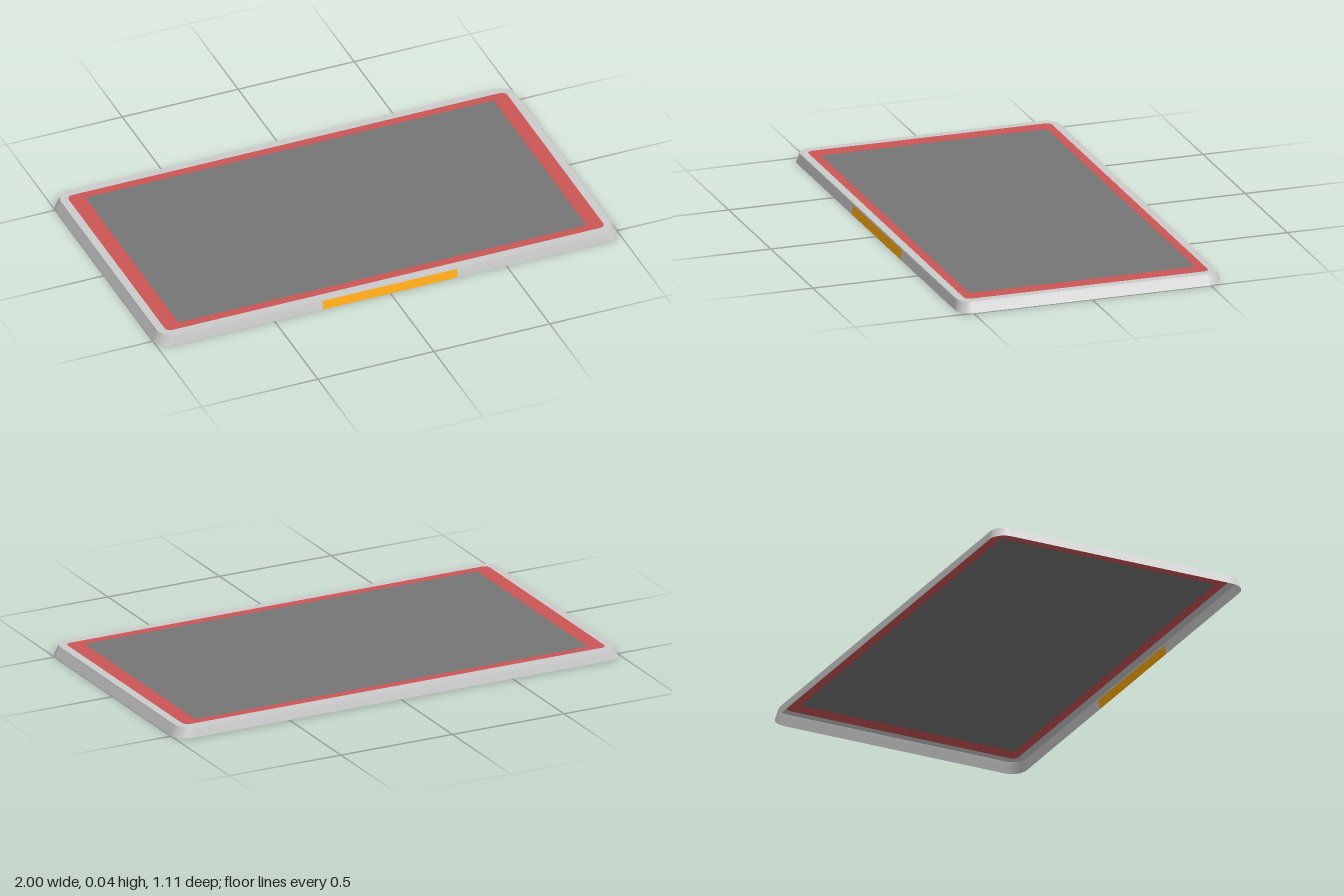
import * as THREE from 'three';

const ARC = 8;            // steps per rounded corner
const TAB = 0.29;         // half width of the front tab
const HEIGHT = 0.043;

// Rounded rectangle at height y; two extra points mark the tab on the front side
function contour(hx, hz, r, y) {
  const pts = [];
  [[1, 1], [-1, 1], [-1, -1], [1, -1]].forEach(([sx, sz], c) => {
    for (let i = 0; i <= ARC; i++) {
      const a = (c + i / ARC) * Math.PI / 2;
      pts.push(new THREE.Vector3(sx * (hx - r) + r * Math.cos(a), y, sz * (hz - r) + r * Math.sin(a)));
    }
    if (c === 0) pts.push(new THREE.Vector3(TAB, y, hz), new THREE.Vector3(-TAB, y, hz));
  });
  return pts;
}

// Band of faces between two contours, over a run of segments
function band(a, b, start = 0, count = a.length) {
  const pos = [], idx = [], n = a.length;
  for (let k = 0; k <= count; k++) {
    const i = (start + k) % n;
    pos.push(...a[i].toArray(), ...b[i].toArray());
    if (k < count) {
      const p = 2 * k;
      idx.push(p, p + 1, p + 2, p + 1, p + 3, p + 2);
    }
  }
  const g = new THREE.BufferGeometry();
  g.setAttribute('position', new THREE.Float32BufferAttribute(pos, 3));
  g.setIndex(idx);
  g.computeVertexNormals();
  return g;
}

export function createModel() {
  const group = new THREE.Group();
  const paint = color => new THREE.MeshStandardMaterial({ color, side: THREE.DoubleSide });
  const grey = paint(0xcccccc), red = paint(0xcc5555), dark = paint(0x757575), orange = paint(0xffaa0a);
  const add = (name, geometry, material) => {
    const mesh = new THREE.Mesh(geometry, material);
    mesh.name = name;
    group.add(mesh);
  };

  // Contours from the foot of the wall to the middle of the top
  const foot = contour(1, 0.557, 0.065, 0);
  const tabTop = contour(0.983, 0.549, 0.06, 0.036);
  const rim = contour(0.98, 0.547, 0.058, HEIGHT);
  const borderEdge = contour(0.946, 0.514, 0.025, HEIGHT);
  const panelEdge = contour(0.88, 0.476, 0.01, HEIGHT);

  // Sloping side wall, open underneath, with the tab set in the front
  const tabStart = ARC + 1;
  add('sideWall', band(foot, tabTop, tabStart + 1, foot.length - 1), grey);
  add('frontTab', band(foot, tabTop, tabStart, 1), orange);
  add('wallTop', band(tabTop, rim), grey);

  // Flat top: lip, coloured border and central panel
  add('lip', band(rim, borderEdge), grey);
  add('border', band(borderEdge, panelEdge), red);
  const panel = new THREE.ShapeGeometry(new THREE.Shape(panelEdge.map(p => new THREE.Vector2(p.x, -p.z))));
  panel.rotateX(-Math.PI / 2).translate(0, HEIGHT, 0);
  add('centrePanel', panel, dark);

  return group;
}
